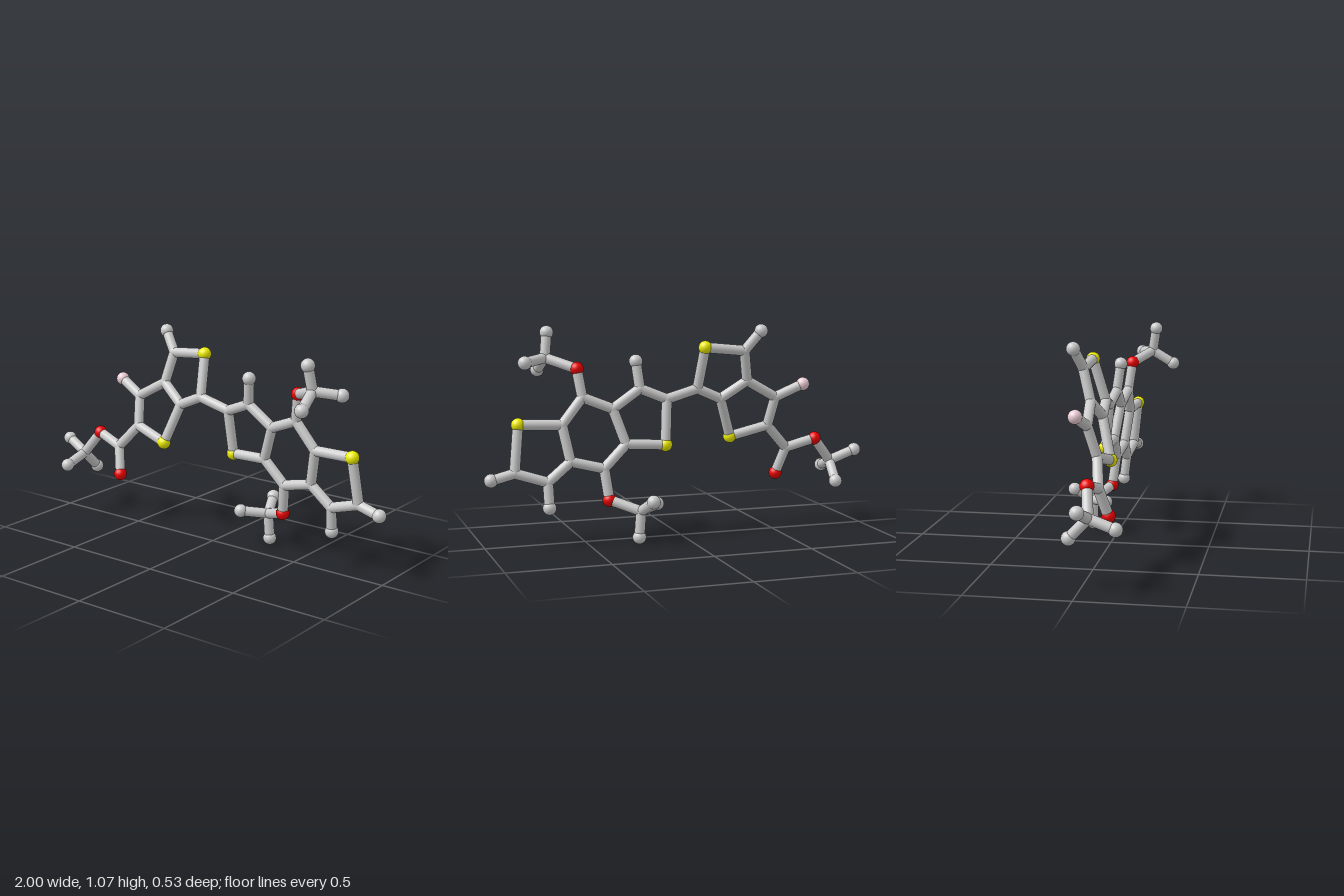
import * as THREE from 'three';

const BALL = 0.034, ROD = 0.026;

// The two flat ring systems are slightly tilted planes: depth follows from x and y
const leftPlane = (x, y) => 0.201 + 0.0755 * x - 0.276 * y;
const rightPlane = (x, y) => -0.1105 + 0.064 * x + 0.121 * y;

// Atoms as [element, x, y, z]; z is omitted for atoms lying in their ring plane
const leftAtoms = {
  a1: ['H', -0.97, 0.39, 0.015], a2: ['H', -0.85, 0.292, 0.166], a3: ['H', -0.835, 0.24, -0.05],
  a4: ['C', -0.84, 0.335, 0.04], a5: ['O', -0.742, 0.46], a6: ['C', -0.59, 0.415], a7: ['O', -0.55, 0.278],
  a8: ['C', -0.475, 0.54], a9: ['S', -0.28, 0.488], a10: ['C', -0.21, 0.69], a11: ['C', -0.34, 0.78],
  a12: ['C', -0.5, 0.69], a13: ['F', -0.64, 0.755], a14: ['C', -0.31, 0.935], a15: ['H', -0.385, 1.035],
  a16: ['S', -0.105, 0.955], a17: ['C', -0.085, 0.745],
};
const rightAtoms = {
  b1: ['C', 0.08, 0.7], b2: ['C', 0.215, 0.755], b3: ['H', 0.23, 0.89], b4: ['S', 0.095, 0.475],
  b5: ['C', 0.295, 0.485], b6: ['C', 0.355, 0.66], b7: ['C', 0.505, 0.72], b8: ['C', 0.61, 0.59],
  b9: ['C', 0.575, 0.41], b10: ['C', 0.41, 0.37], b11: ['S', 0.825, 0.597], b12: ['C', 0.85, 0.365],
  b13: ['H', 0.965, 0.335], b14: ['C', 0.69, 0.315], b15: ['H', 0.687, 0.19],
  b16: ['O', 0.527, 0.86], b17: ['C', 0.665, 0.91, 0.118], b18: ['H', 0.65, 1.033, 0.138],
  b19: ['H', 0.78, 0.893, 0.045], b20: ['H', 0.68, 0.842, 0.228],
  b21: ['O', 0.39, 0.216], b22: ['C', 0.25, 0.165, -0.135], b23: ['H', 0.26, 0.036, -0.137],
  b24: ['H', 0.14, 0.18, -0.05], b25: ['H', 0.215, 0.225, -0.23],
};

// Bonds as chains of atoms
const chains = [
  'a1 a4 a5 a6 a8 a9 a10 a11 a12 a8', 'a2 a4 a3', 'a6 a7', 'a12 a13', 'a11 a14 a16 a17 a10', 'a14 a15',
  'a17 b1 b2 b6 b5 b4 b1', 'b2 b3', 'b6 b7 b8 b9 b10 b5', 'b8 b11 b12 b14 b9', 'b12 b13', 'b14 b15',
  'b7 b16 b17 b18', 'b19 b17 b20', 'b10 b21 b22 b23', 'b24 b22 b25',
];

const elements = {
  C: ['carbonJoint', 0xcccccc, 0.027], H: ['hydrogenBall', 0xcccccc, BALL],
  O: ['oxygenBall', 0xee0000, BALL], S: ['sulfurBall', 0xeeee00, BALL], F: ['fluorineBall', 0xeccfd6, BALL],
};

export function createModel() {
  const model = new THREE.Group();
  model.name = 'molecule';
  const atoms = new THREE.Group();
  atoms.name = 'atoms';
  const bonds = new THREE.Group();
  bonds.name = 'bonds';
  model.add(atoms, bonds);

  const materials = {};
  for (const key in elements) materials[key] = new THREE.MeshStandardMaterial({ color: elements[key][1] });
  const sphere = new THREE.SphereGeometry(1, 24, 16);
  const rod = new THREE.CylinderGeometry(ROD, ROD, 1, 20);
  const up = new THREE.Vector3(0, 1, 0);
  const points = {};

  // Balls at the atom positions
  const addAtoms = (list, plane) => {
    for (const [id, [element, x, y, z = plane(x, y)]] of Object.entries(list)) {
      const [name, , radius] = elements[element];
      const ball = new THREE.Mesh(sphere, materials[element]);
      ball.name = name;
      ball.position.set(x, y, z);
      ball.scale.setScalar(radius);
      points[id] = ball.position;
      atoms.add(ball);
    }
  };
  addAtoms(leftAtoms, leftPlane);
  addAtoms(rightAtoms, rightPlane);

  // Rods between neighbouring atoms
  for (const chain of chains) {
    const ids = chain.split(' ');
    for (let i = 1; i < ids.length; i++) {
      const from = points[ids[i - 1]], to = points[ids[i]];
      const direction = to.clone().sub(from);
      const bond = new THREE.Mesh(rod, materials.C);
      bond.name = 'bond';
      bond.position.copy(from).add(to).multiplyScalar(0.5);
      bond.scale.y = direction.length();
      bond.quaternion.setFromUnitVectors(up, direction.normalize());
      bonds.add(bond);
    }
  }
  return model;
}
